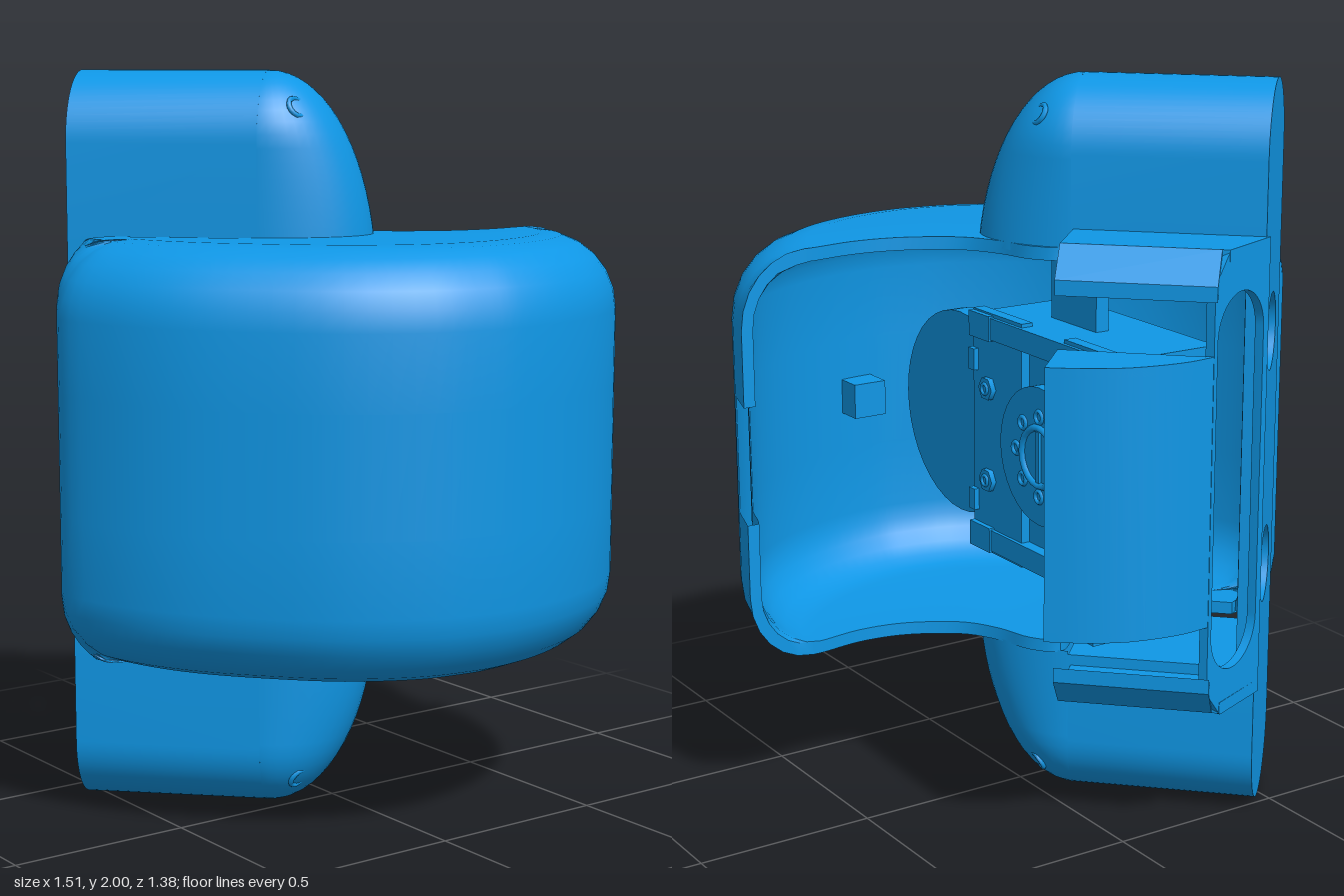
import * as THREE from 'three';
import { toCreasedNormals } from 'three/addons/utils/BufferGeometryUtils.js';
import { ParametricGeometry } from 'three/addons/geometries/ParametricGeometry.js';

const blue = new THREE.MeshStandardMaterial({ color: 0x0f97e6, side: THREE.DoubleSide });

function add(parent, name, geo, x = 0, y = 0, z = 0) {
  const m = new THREE.Mesh(geo, blue);
  m.name = name;
  m.position.set(x, y, z);
  parent.add(m);
  return m;
}
const box = (p, name, x0, x1, y0, y1, z0, z1) =>
  add(p, name, new THREE.BoxGeometry(x1 - x0, y1 - y0, z1 - z0), (x0 + x1) / 2, (y0 + y1) / 2, (z0 + z1) / 2);
const poly = (pts) => new THREE.Shape(pts.map((p) => new THREE.Vector2(...p)));
const extrude = (shape, depth) => toCreasedNormals(
  new THREE.ExtrudeGeometry(shape, { depth, bevelEnabled: false, curveSegments: 16 }), 0.5);
// Plan outline given as x, z, raised along y
const plan = (pts, depth) => extrude(poly(pts.map(([x, z]) => [x, -z])), depth).rotateX(-Math.PI / 2);

// Hollow front shell: C-shaped sections lofted between the outer outline and the inner rim
function shellGeometry() {
  const rows = [ // outer x, z, rim x, z
    [-.59, -.25, -.57, -.225], [-.65, -.26, -.56, -.215], [-.715, -.23, -.545, -.2],
    [-.757, -.14, -.5, -.155], [-.725, .02, -.4, -.055], [-.645, .19, -.29, .045],
    [-.52, .355, -.2, -.04], [-.35, .525, -.09, -.13], [-.15, .64, 0, -.2], [0, .675, .06, -.14],
    [.1, .682, .09, -.04], [.27, .657, .14, .05], [.45, .585, .22, .11], [.6, .47, .31, .15],
    [.7, .32, .42, .165], [.757, .15, .54, .15]];
  const outer = new THREE.CatmullRomCurve3(rows.map((r) => new THREE.Vector3(r[0], 0, r[1])));
  const rim = new THREE.CatmullRomCurve3(rows.map((r) => new THREE.Vector3(r[2], 0, r[3])));
  const N = 60, F = 6, half = .56, th = .035;
  const pos = [], idx = [], path = [];
  const H = 2 * F + 6; // points on one side of the wall
  for (let i = 0; i <= N; i++) {
    const P = outer.getPoint(i / N), Q = rim.getPoint(i / N), t = outer.getTangent(i / N);
    const r = THREE.MathUtils.clamp(.9 * P.distanceTo(Q), .045, .2);
    path.push(P);
    const side = (e) => {
      const pts = [[Q.x, half - e, Q.z]];
      const at = (a, y) => {
        const k = r - (r - e) * Math.cos(a);
        const x = P.x + t.z * k, z = P.z - t.x * k;
        pts.push([x, y, x > .4 ? Math.max(z, .15) : z]);
      };
      for (let j = 0; j <= F; j++) {
        const a = (1 - j / F) * Math.PI / 2;
        at(a, half - r + (r - e) * Math.sin(a));
      }
      at(0, .16);
      const mirrored = pts.map(([x, y, z]) => [x, -y, z]).reverse();
      return pts.concat(mirrored);
    };
    for (const p of [...side(0), ...side(th).reverse()]) pos.push(p[0], p[1] + 1.01, p[2]);
  }
  const M = 2 * H;
  for (let i = 0; i < N; i++) {
    const notch = path[i].x > .5 && path[i].z < .29;
    for (let j = 0; j < M; j++) {
      if (notch && (j === H / 2 - 1 || j === H + H / 2 - 1)) continue;
      const a = i * M + j, b = i * M + (j + 1) % M;
      idx.push(a, a + M, b, b, a + M, b + M);
    }
  }
  // Close both ends between the outer and inner wall
  for (const i of [0, N]) {
    for (let j = 0; j < H - 1; j++) {
      if (i === N && j === H / 2 - 1) continue;
      const a = i * M + j, c = i * M + M - 1 - j;
      if (i) idx.push(a, c, a + 1, a + 1, c, c - 1);
      else idx.push(a, a + 1, c, a + 1, c - 1, c);
    }
  }
  const g = new THREE.BufferGeometry();
  g.setAttribute('position', new THREE.Float32BufferAttribute(pos, 3));
  g.setIndex(idx);
  return toCreasedNormals(g, 0.6);
}

// Yoke arm with its rounded cap; local z points to the front of the arm
const MID = -.042, R = .188;
function arm() {
  const g = new THREE.Group();
  g.name = 'yokeArm';
  const s = new THREE.Shape();
  s.moveTo(MID - R, 1.56);
  s.lineTo(MID + R, 1.56);
  s.lineTo(MID + R, 2 - R);
  s.absarc(MID, 2 - R, R, 0, Math.PI, false);
  add(g, 'armBar', extrude(s, .507), 0, 0, -.67);
  const cap = new ParametricGeometry((u, v, out) => {
    const y = 1.55 + .45 * Math.sin(v * Math.PI / 2);
    const a = Math.sqrt(Math.max(0, R * R - Math.max(0, y - 2 + R) ** 2));
    const b = .287 * Math.sqrt(Math.max(0, 1 - ((y - 1.45) / .55) ** 2));
    out.set(MID + a * Math.cos(u * Math.PI), y, -.163 + b * Math.sin(u * Math.PI));
  }, 24, 16);
  add(g, 'armCap', cap);
  for (const k of [-1, 1]) {
    const screw = add(g, 'capScrew', new THREE.TorusGeometry(.026, .007, 6, 16), MID + k * .125, 1.905, -.068);
    screw.rotation.set(-.6, k * .5, 0);
  }
  // Bent flange beside the arm
  const f = poly([[.14, 1.62], [.33, 1.62], [.4, 1.54], [.4, 1.5], [.32, 1.59], [.14, 1.59]]);
  add(g, 'bracketFlange', extrude(f, .41), 0, 0, -.58);
  add(g, 'flangeCorner', plan([[.14, -.68], [.33, -.6], [.33, -.57], [.14, -.57]], .03), 0, 1.59, 0);
  return g;
}

export function createModel() {
  const root = new THREE.Group();
  root.name = 'shoulderJoint';
  add(root, 'frontShell', shellGeometry());

  // Yoke, turned 45 degrees
  const yoke = new THREE.Group();
  yoke.name = 'yoke';
  yoke.rotation.y = Math.PI / 4;
  root.add(yoke);
  yoke.add(arm());
  const low = arm();
  low.scale.y = -1;
  low.position.y = 2.005;
  yoke.add(low);

  const back = poly([[MID - R, .44], [MID + R, .44], [MID + R, 1.57], [MID - R, 1.57]]);
  for (const y of [.68, 1.33]) back.holes.push(new THREE.Path().absarc(MID, y, .105, 0, Math.PI * 2, true));
  add(yoke, 'yokeBackPlate', extrude(back, .05), 0, 0, -.67);

  // Angled plate with a long slot
  const plate = poly([[0, .38], [.2, .38], [.272, .46], [.272, 1.54], [.2, 1.62], [0, 1.62]]);
  const slot = new THREE.Path();
  slot.absarc(.14, 1.39, .115, 0, Math.PI, false);
  slot.absarc(.14, .61, .115, Math.PI, Math.PI * 2, false);
  slot.closePath();
  plate.holes.push(slot);
  add(yoke, 'slottedPlate', extrude(plate, .025), .14, 0, -.68).rotation.y = -.404;

  // Curved side cover: arc wall with top and bottom plates
  const arc = new THREE.CatmullRomCurve3([[-.13, -.68], [-.04, -.685], [.1, -.655], [.2, -.6], [.28, -.535]]
    .map(([x, z]) => new THREE.Vector3(x, 0, z))).getPoints(14).map((p) => [p.x, p.z]);
  const inner = arc.map(([x, z]) => [x - .022, z + .018]).reverse();
  add(root, 'coverWall', plan([...arc, ...inner], .71), 0, .65, 0);
  for (const y of [.645, 1.335])
    add(root, 'coverPlate', plan([...arc, [.15, -.4], [.06, -.49]], .025), 0, y, 0);

  // Motor, output facing +x
  const motor = new THREE.Group();
  motor.name = 'motor';
  motor.position.set(0, 1.01, -.19);
  root.add(motor);
  box(motor, 'motorBody', -.26, .03, -.33, .33, -.33, .33);
  for (const k of [-1, 1]) {
    box(motor, 'motorPlate', .02, .055, -.34, .34, k > 0 ? .1 : -.34, k > 0 ? .34 : -.1);
    box(motor, 'motorRail', .03, .065, k * .3 - .03, k * .3 + .03, -.3, .3);
    for (const j of [-1, 1]) {
      box(motor, 'cornerTab', .04, .07, k * .3 - .035, k * .3 + .035, j * .29 - .05, j * .29 + .05);
      box(motor, 'edgeTab', .04, .07, k * .2 - .03, k * .2 + .03, j * .33 - .015, j * .33 + .015);
    }
  }
  const disc = (name, r, x, len, y, z, n = 24) =>
    add(motor, name, new THREE.CylinderGeometry(r, r, len, n).rotateZ(Math.PI / 2), x, y, z);
  const ring = (name, r, t, x, y, z) =>
    add(motor, name, new THREE.TorusGeometry(r, t, 6, 20).rotateY(Math.PI / 2), x, y, z);
  disc('outputDisc', .19, .045, .04, 0, 0, 32);
  ring('hubRing', .08, .01, .066, 0, 0);
  box(motor, 'hubKey', .06, .072, -.07, .07, -.008, .008);
  for (let i = 0; i < 8; i++) {
    const a = i * Math.PI / 4;
    ring('discHole', .016, .006, .066, .11 * Math.sin(a), .11 * Math.cos(a));
  }
  for (const y of [-.13, .13]) for (const z of [-.26, .26]) {
    disc('hexNut', .033, .06, .02, y, z, 6);
    ring('nutHole', .014, .005, .071, y, z);
  }

  // Round boss beside the motor and the plates that carry it inside the shell
  disc('innerBoss', .29, -.03, .06, 0, .5, 40);
  box(root, 'mountPlate', -.12, -.08, .46, 1.55, -.24, -.03);
  box(root, 'shellTab', .1, .2, .96, 1.06, .56, .65);
  return root;
}
